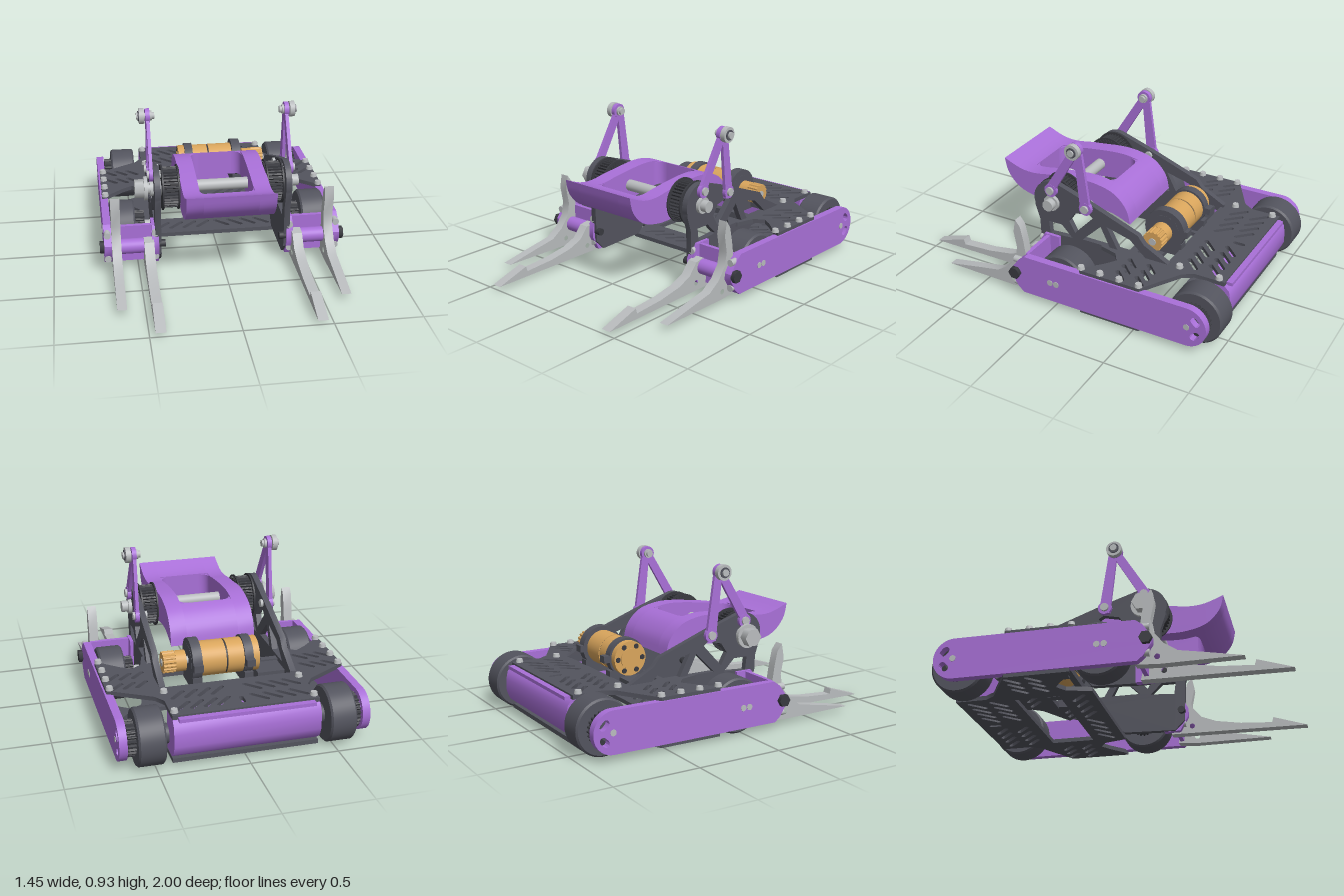
import * as THREE from 'three';
import { toCreasedNormals } from 'three/addons/utils/BufferGeometryUtils.js';

const mat = (name, color) => {
  const m = new THREE.MeshStandardMaterial({ color });
  m.name = name;
  return m;
};

export function createModel() {
  const root = new THREE.Group();
  const purple = mat('purple', 0xa970d8), dark = mat('dark grey', 0x53545e), black = mat('near black', 0x393a40),
    steel = mat('light steel', 0xb9bcbe), orange = mat('motor orange', 0xd9a55c);

  // ---- helpers ----
  const add = (name, geo, m) => {
    const mesh = new THREE.Mesh(geo, m);
    mesh.name = name;
    root.add(mesh);
    return mesh;
  };
  const poly = pts => new THREE.Shape(pts.map(p => new THREE.Vector2(p[0], p[1])));
  const hole = (shape, pts) => { shape.holes.push(new THREE.Path(pts.map(p => new THREE.Vector2(p[0], p[1])))); };
  // shape drawn in (z, y), extruded between two x values
  const side = (name, shape, xa, xb, m) => {
    const g = new THREE.ExtrudeGeometry(shape, { depth: Math.abs(xb - xa), bevelEnabled: false, curveSegments: 16 });
    g.rotateY(-Math.PI / 2).translate(Math.max(xa, xb), 0, 0);
    return add(name, toCreasedNormals(g, 0.6), m);
  };
  // shape drawn in (x, z), extruded between two heights
  const flat = (name, shape, y0, y1, m) => {
    const g = new THREE.ExtrudeGeometry(shape, { depth: y1 - y0, bevelEnabled: false, curveSegments: 8 });
    g.rotateX(Math.PI / 2).translate(0, y1, 0);
    return add(name, toCreasedNormals(g, 0.6), m);
  };
  const cylX = (name, r, xa, xb, y, z, m, seg = 32) => {
    const g = new THREE.CylinderGeometry(r, r, Math.abs(xb - xa), seg);
    g.rotateZ(Math.PI / 2).translate((xa + xb) / 2, y, z);
    return add(name, seg < 9 ? g.toNonIndexed() : g, m);
  };
  const box = (name, x0, x1, y0, y1, z0, z1, m) =>
    add(name, new THREE.BoxGeometry(Math.abs(x1 - x0), y1 - y0, z1 - z0).translate((x0 + x1) / 2, (y0 + y1) / 2, (z0 + z1) / 2), m);
  const gear = (name, r, n, xa, xb, y, z, m) => {
    const pts = [];
    for (let i = 0; i < n * 4; i++) {
      const a = i / (n * 4) * Math.PI * 2, q = i % 4 < 2 ? r : r * 0.9;
      pts.push([z + q * Math.cos(a), y + q * Math.sin(a)]);
    }
    side(name, poly(pts), xa, xb, m);
  };
  const slot = (x, z, len, ang, w = 0.013) => {
    const pts = [];
    for (let i = 0; i < 12; i++) {
      const a = Math.PI * (i % 6) / 5 - Math.PI / 2 + (i > 5 ? Math.PI : 0), e = i > 5 ? -len / 2 : len / 2;
      const u = e + w * Math.cos(a), v = w * Math.sin(a);
      pts.push([x + u * Math.cos(ang) - v * Math.sin(ang), z + u * Math.sin(ang) + v * Math.cos(ang)]);
    }
    return pts;
  };
  const circle = (u, v, r) => new THREE.Path().absarc(u, v, r, 0, Math.PI * 2, true);
  const screwTop = (x, z) => add('plateScrew', new THREE.CylinderGeometry(0.018, 0.022, 0.02, 16).translate(x, 0.31, z), steel);

  // ---- slotted chassis plates ----
  const mirrored = half => half.concat(half.slice().reverse().map(p => [-p[0], p[1]]));
  const wing = [[0.41, -0.92], [0.41, -0.74], [0.45, -0.68], [0.69, -0.54], [0.69, -0.17], [0.65, -0.18], [0.56, -0.26], [0.5, -0.3], [0.44, -0.26], [0.41, -0.15]];
  const cutSlots = shape => {
    for (const s of [-1, 1]) {
      for (let i = 0; i < 4; i++) for (const z of [-0.82, -0.69])
        hole(shape, slot(s * (0.1 + i * 0.075), z, 0.1, s * -Math.PI / 4));
      for (let i = 0; i < 3; i++) for (const z of [-0.51, -0.39])
        hole(shape, slot(s * (0.485 + i * 0.07), z, 0.085, s * -Math.PI / 4));
    }
    hole(shape, slot(0, -0.83, 0.05, Math.PI / 2));
  };
  const top = poly(mirrored([...wing, [0.37, -0.13], [0.37, -0.58]]));
  cutSlots(top);
  flat('topPlate', top, 0.275, 0.3, dark);
  const bottom = poly(mirrored([...wing, [0.4, -0.12]]));
  cutSlots(bottom);
  hole(bottom, [[-0.37, -0.58], [0.37, -0.58], [0.37, -0.32], [-0.37, -0.32]]);
  for (const s of [-1, 1]) for (let i = 0; i < 4; i++)
    hole(bottom, slot(s * (0.06 + i * 0.085), -0.22, 0.1, s * Math.PI / 4));
  flat('bottomPlate', bottom, 0.02, 0.045, dark);
  box('motorTray', -0.35, -0.19, 0.22, 0.29, -0.52, -0.38, dark);

  // ---- rounded rear bumper ----
  const bumper = poly([[-0.8, 0.05], [-0.8, 0.275], [-0.925, 0.275], [-0.95, 0.25], [-0.96, 0.2], [-0.96, 0.13], [-0.94, 0.08], [-0.9, 0.05]]);
  side('rearBumper', bumper, -0.41, 0.41, purple);
  box('rearBumperTop', -0.38, 0.38, 0.27, 0.29, -0.955, -0.92, purple);

  // ---- both sides ----
  for (const s of [-1, 1]) {
    // outer armour rail
    const rail = new THREE.Shape();
    rail.moveTo(0.2, 0.04);
    rail.lineTo(0.235, 0.07);
    rail.lineTo(0.28, 0.14);
    rail.lineTo(0.28, 0.18);
    rail.lineTo(0.23, 0.25);
    rail.lineTo(0.19, 0.28);
    rail.lineTo(-0.83, 0.28);
    rail.absarc(-0.83, 0.16, 0.12, Math.PI / 2, Math.PI * 1.5, false);
    for (const y of [0.115, 0.205]) hole(rail, slot(-0.885, y, 0.025, y > 0.16 ? 0.8 : -0.8, 0.02));
    side('sideRail', rail, s * 0.655, s * 0.7, purple);
    for (const z of [0.02, -0.02, -0.835]) cylX('railPin', 0.018, s * 0.69, s * 0.703, 0.16, z, steel, 16);

    // wheels, hubs and drive pulleys
    const wheel = (x0, x1, z) => {
      const a = 0.16, w = x1 - x0;
      const g = new THREE.LatheGeometry([[0.03, 0], [a - 0.01, 0], [a, 0.01], [a, w - 0.01], [a - 0.01, w], [0.03, w]].map(p => new THREE.Vector2(...p)), 48);
      g.rotateZ(-Math.PI / 2).translate(s > 0 ? x0 : -x1, 0.16, z);
      add('wheel', toCreasedNormals(g, 0.5), dark);
    };
    wheel(0.455, 0.605, -0.84);
    wheel(0.505, 0.652, -0.025);
    gear('rearPulley', 0.1, 24, s * 0.6, s * 0.65, 0.16, -0.84, black);
    gear('frontPulley', 0.09, 24, s * 0.445, s * 0.51, 0.16, -0.025, black);
    cylX('rearHub', 0.055, s * 0.42, s * 0.66, 0.16, -0.84, dark);
    cylX('frontAxle', 0.03, s * 0.4, s * 0.66, 0.16, -0.025, steel);

    // weapon support truss
    const truss = new THREE.Shape();
    truss.moveTo(0.2, 0.04);
    truss.lineTo(0.26, 0.1);
    truss.lineTo(0.27, 0.36);
    truss.lineTo(0.3, 0.45);
    truss.absarc(0.18, 0.5, 0.125, -0.3, Math.PI * 0.56, false);
    [[-0.06, 0.55], [-0.38, 0.43], [-0.42, 0.38], [-0.57, 0.3], [-0.57, 0.26], [-0.3, 0.24], [-0.12, 0.05]].forEach(p => truss.lineTo(...p));
    hole(truss, [[0.2, 0.28], [0.21, 0.36], [0.12, 0.36], [0.05, 0.29]]);
    hole(truss, [[0.03, 0.33], [0.07, 0.4], [0.03, 0.46], [-0.06, 0.48], [-0.09, 0.46]]);
    hole(truss, [[-0.02, 0.3], [-0.2, 0.3], [-0.14, 0.42]]);
    hole(truss, [[-0.25, 0.3], [-0.43, 0.3], [-0.33, 0.39], [-0.18, 0.43]]);
    side('weaponSupport', truss, s * 0.365, s * 0.4, dark);

    // A-frame with top roller
    const frame = poly([[0.035, 0.9], [-0.015, 0.9], [-0.03, 0.86], [-0.08, 0.52], [-0.06, 0.485], [-0.02, 0.485], [-0.015, 0.54], [0.015, 0.82], [0.15, 0.59], [0.165, 0.55], [0.2, 0.55], [0.215, 0.59], [0.05, 0.86]].reverse());
    side('rollerFrame', frame, s * 0.4, s * 0.42, purple);
    cylX('rollerFrameEye', 0.043, s * 0.398, s * 0.424, 0.88, 0.01, purple);
    for (const [z, y] of [[0.18, 0.58], [-0.05, 0.52]]) {
      cylX('frameFoot', 0.04, s * 0.398, s * 0.422, y, z, purple);
      cylX('frameScrew', 0.024, s * 0.35, s * 0.435, y, z, steel, 16);
    }
    cylX('rollerAxle', 0.02, s * 0.37, s * 0.475, 0.88, 0.01, steel, 16);
    cylX('rollerCollar', 0.028, s * 0.385, s * 0.4, 0.88, 0.01, steel, 16);
    cylX('roller', 0.046, s * 0.43, s * 0.46, 0.88, 0.01, steel);
    cylX('rollerCap', 0.03, s * 0.46, s * 0.466, 0.88, 0.01, dark);

    // front fork mount
    side('forkBracket', poly([[0.13, 0.04], [0.23, 0.04], [0.28, 0.13], [0.28, 0.19], [0.23, 0.28], [0.13, 0.28]]), s * 0.38, s * 0.42, purple);
    box('forkBackPlate', s * 0.42, s * 0.655, 0.05, 0.275, 0.19, 0.215, purple);
    cylX('forkTube', 0.045, s * 0.42, s * 0.655, 0.16, 0.245, purple);
    cylX('forkShaft', 0.022, s * 0.34, s * 0.7, 0.165, 0.245, black, 16);
    cylX('forkBolt', 0.037, s * 0.7, s * 0.725, 0.165, 0.25, black, 6);
    for (const x of [0.4, 0.68]) for (const y of [0.09, 0.24]) {
      const g = new THREE.CylinderGeometry(0.02, 0.02, 0.06, 16).rotateX(Math.PI / 2).translate(s * x, y, 0.235);
      add('forkScrew', g, steel);
    }

    // forks
    const outer = poly([[0.76, 0.035], [0.55, 0.075], [0.41, 0.1], [0.335, 0.15], [0.28, 0.22], [0.266, 0.3], [0.285, 0.4], [0.27, 0.48], [0.24, 0.44], [0.22, 0.35], [0.2, 0.22], [0.18, 0.04], [0.3, 0.03]].reverse());
    outer.holes.push(circle(0.3, 0.075, 0.016));
    side('outerFork', outer, s * 0.602, s * 0.656, steel);
    const inner = poly([[1, 0.025], [0.8, 0.09], [0.79, 0.058], [0.6, 0.07], [0.45, 0.095], [0.36, 0.13], [0.3, 0.2], [0.24, 0.21], [0.2, 0.17], [0.17, 0.03]].reverse());
    inner.holes.push(circle(0.3, 0.075, 0.016));
    side('innerFork', inner, s * 0.41, s * 0.468, steel);

    // plate screws
    for (const z of [-0.53, -0.41, -0.29, -0.17]) screwTop(s * 0.67, z);
    screwTop(s * 0.39, -0.64);
    screwTop(s * 0.39, -0.88);

    // weapon pulley
    gear('weaponPulley', 0.12, 36, s * 0.25, s * 0.345, 0.495, 0.18, black);
    cylX('pulleyFlange', 0.132, s * 0.345, s * 0.355, 0.495, 0.18, black, 48);
    cylX('pulleyFlange', 0.132, s * 0.255, s * 0.263, 0.495, 0.18, black, 48);
    cylX('shaftCollar', 0.048, s * 0.34, s * 0.42, 0.495, 0.18, steel);
  }

  // ---- spinning S-shaped weapon ----
  const CY = 0.5, CZ = 0.18;
  const half = new THREE.SplineCurve([[0.43, 0.11], [0.32, 0.068], [0.22, 0.06], [0.1, 0.078], [-0.1, 0.1], [-0.22, 0.095], [-0.33, 0.06], [-0.405, -0.02], [-0.43, -0.11]].map(p => new THREE.Vector2(...p))).getPoints(32);
  const ring = half.slice(0, -1).map(p => [p.x, p.y]);
  const profile = ring.concat(ring.map(p => [-p[0], -p[1]]));
  const clip = (pts, c, sign) => pts.flatMap((p, i) => {
    const q = pts[(i + 1) % pts.length], a = (p[0] - c) * sign, b = (q[0] - c) * sign, out = a >= 0 ? [p] : [];
    if (a * b < 0) out.push([c, p[1] + (q[1] - p[1]) * a / (a - b)]);
    return out;
  });
  const place = pts => poly(pts.map(p => [p[0] + CZ, p[1] + CY]));
  for (const s of [-1, 1]) {
    side('weaponArm', place(profile), s * 0.155, s * 0.252, purple);
    side('weaponBlade', place(clip(profile, s * 0.267, s)), -0.155, 0.155, purple);
    // rounded corners of the window
    for (const e of [-1, 1]) {
      const pts = [[s * 0.155, CZ + e * 0.267]];
      for (let i = 0; i <= 6; i++) {
        const a = i / 6 * Math.PI / 2;
        pts.push([s * (0.1 + 0.055 * Math.cos(a)), CZ + e * (0.212 + 0.055 * Math.sin(a))]);
      }
      flat('windowCorner', poly(pts), e > 0 ? 0.415 : 0.445, e > 0 ? 0.555 : 0.585, purple);
    }
  }
  cylX('weaponShaft', 0.034, -0.5, 0.458, 0.495, 0.18, steel);
  cylX('shaftNut', 0.055, -0.508, -0.455, 0.495, 0.18, steel, 6);
  cylX('nutWasher', 0.07, -0.455, -0.435, 0.495, 0.18, steel);

  // ---- weapon motor ----
  const MY = 0.39, MZ = -0.45;
  cylX('motorBody', 0.1, -0.19, -0.005, MY, MZ, orange, 48);
  cylX('motorGroove', 0.095, -0.005, 0.005, MY, MZ, black, 48);
  cylX('motorBody', 0.1, 0.005, 0.17, MY, MZ, orange, 48);
  cylX('motorEndCap', 0.06, -0.196, -0.19, MY, MZ, orange);
  for (let i = 0; i < 6; i++)
    cylX('motorVent', 0.015, -0.194, -0.18, MY + 0.078 * Math.sin(i * Math.PI / 3), MZ + 0.078 * Math.cos(i * Math.PI / 3), black, 12);
  for (const [x0, x1, r] of [[-0.15, -0.1, 0.112], [0.15, 0.205, 0.125]]) {
    const clamp = new THREE.Shape().absarc(MZ, MY, r, 0, Math.PI * 2, false);
    clamp.holes.push(circle(MZ, MY, 0.085));
    side('motorClamp', clamp, x0, x1, dark);
    box('clampFoot', x0, x1, 0.24, 0.32, MZ - 0.11, MZ + 0.11, dark);
    box('clampEar', x0, x1, MY - 0.02, MY + 0.02, MZ - 0.145, MZ - 0.1, dark);
  }
  for (const z of [-0.57, -0.33]) box('motorCrossbar', -0.37, 0.37, 0.25, 0.285, z - 0.02, z + 0.02, dark);
  cylX('motorFace', 0.09, 0.17, 0.206, MY, MZ, dark);
  cylX('motorShaft', 0.022, 0.2, 0.36, MY, MZ, steel, 16);
  cylX('pinionCollar', 0.06, 0.225, 0.285, MY, MZ, orange);
  gear('pinion', 0.062, 16, 0.285, 0.355, MY, MZ, orange);

  return root;
}
